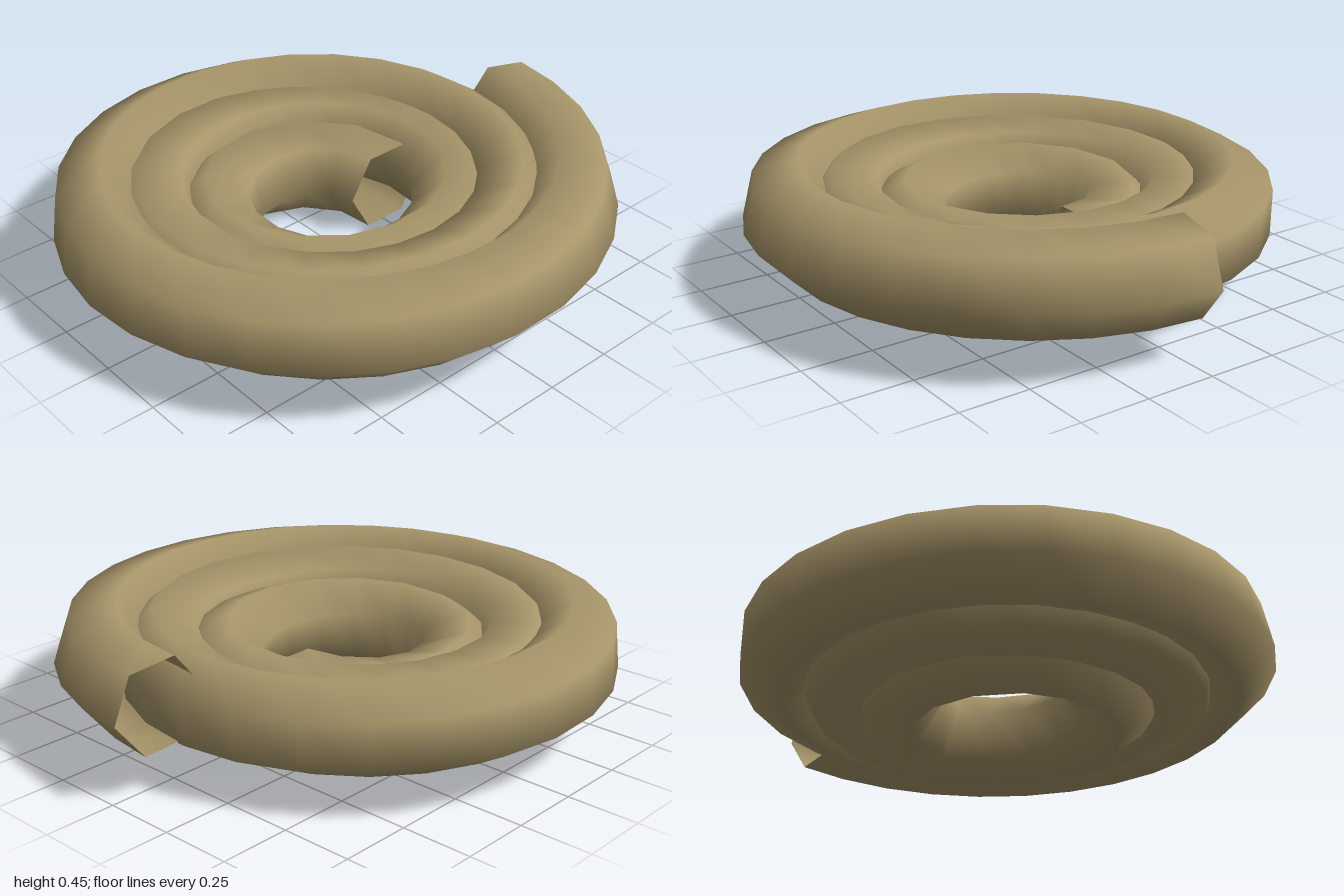
import * as THREE from 'three';

const TURNS = 3, START_R = 0.31, END_R = 0.89; // spiral radii
const START_Y = 0.145, END_Y = 0.293;          // the coil climbs as it widens
const CENTRE_X = -0.054, CENTRE_Z = -0.052;
const TUBE_R = 0.165, SIDES = 6, RINGS = 64;

// Centre line: a flat spiral running anticlockwise from the inside out
function spiralPath() {
  const points = [];
  const count = TURNS * 30;
  for (let i = 0; i <= count; i++) {
    const t = i / count;
    const angle = t * TURNS * Math.PI * 2;
    const radius = THREE.MathUtils.lerp(START_R, END_R, t);
    points.push(new THREE.Vector3(
      CENTRE_X + Math.cos(angle) * radius,
      THREE.MathUtils.lerp(START_Y, END_Y, t),
      CENTRE_Z - Math.sin(angle) * radius,
    ));
  }
  const curve = new THREE.CatmullRomCurve3(points);
  curve.arcLengthDivisions = 1000;
  return curve;
}

// Six-sided tube whose section slowly twists along the path; ends are open
function twistedTube(path) {
  const positions = [], indices = [];
  const worldUp = new THREE.Vector3(0, 1, 0);
  for (let i = 0; i <= RINGS; i++) {
    const p = path.getPointAt(i / RINGS);
    const tangent = path.getTangentAt(i / RINGS);
    const side = new THREE.Vector3().crossVectors(tangent, worldUp).normalize();
    const up = new THREE.Vector3().crossVectors(side, tangent);
    const radius = Math.hypot(p.x - CENTRE_X, p.z - CENTRE_Z);
    const twist = 1.85 * Math.log(radius / START_R);
    for (let j = 0; j < SIDES; j++) {
      const a = twist + (j / SIDES) * Math.PI * 2;
      const v = p.clone()
        .addScaledVector(side, Math.cos(a) * TUBE_R)
        .addScaledVector(up, Math.sin(a) * TUBE_R);
      positions.push(v.x, v.y, v.z);
    }
  }
  for (let i = 0; i < RINGS; i++) {
    for (let j = 0; j < SIDES; j++) {
      const a = i * SIDES + j, b = i * SIDES + (j + 1) % SIDES;
      const c = a + SIDES, d = b + SIDES;
      indices.push(a, c, b, b, c, d);
    }
  }
  const geometry = new THREE.BufferGeometry();
  geometry.setAttribute('position', new THREE.Float32BufferAttribute(positions, 3));
  geometry.setIndex(indices);
  geometry.computeVertexNormals();
  return geometry;
}

export function createModel() {
  const group = new THREE.Group();
  group.name = 'ropeCoil';
  const rope = new THREE.MeshStandardMaterial({ color: 0xa8966a, side: THREE.DoubleSide });
  rope.name = 'tan rope';
  const coil = new THREE.Mesh(twistedTube(spiralPath()), rope);
  coil.name = 'spiralRope';
  group.add(coil);
  return group;
}
